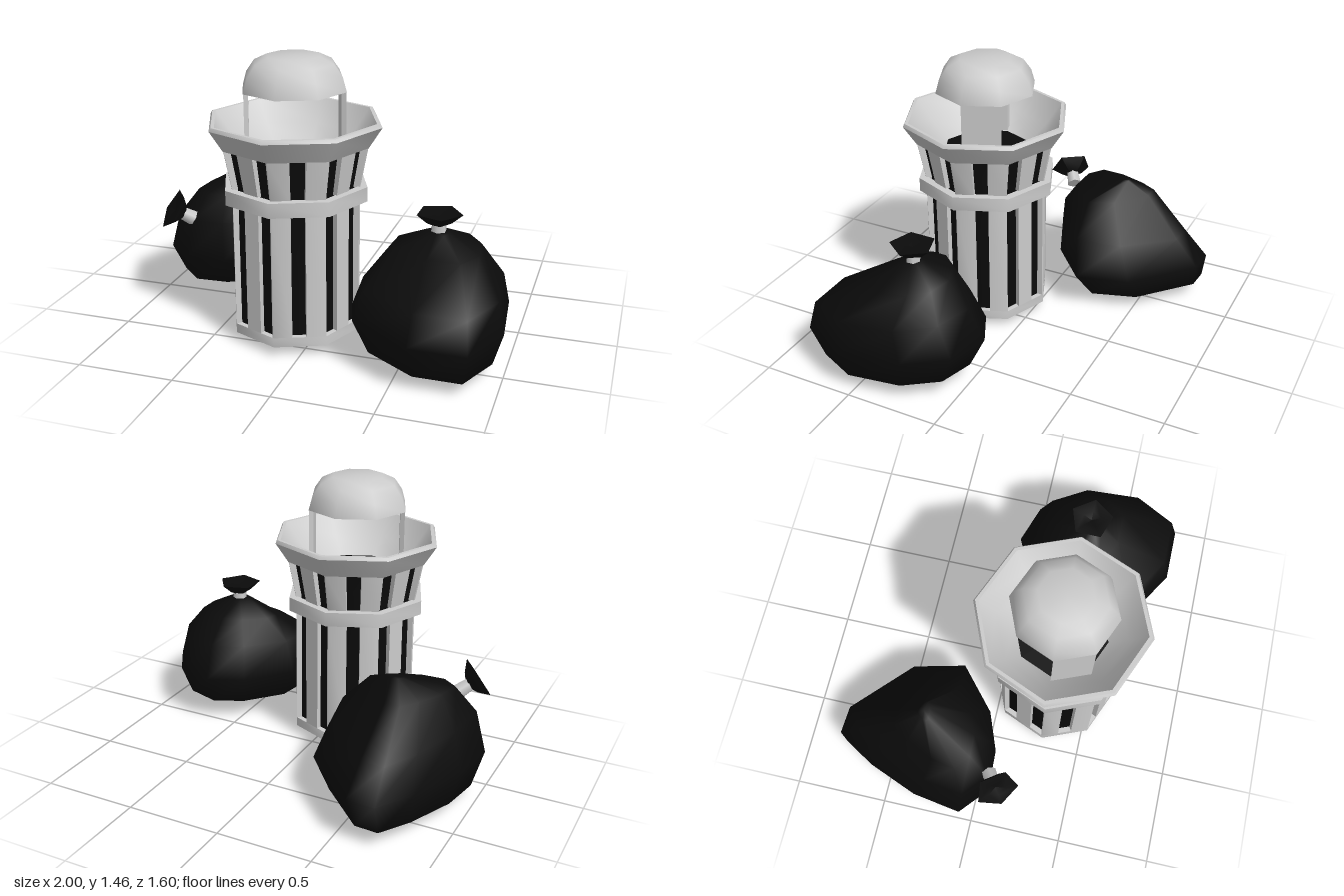
import * as THREE from 'three';
import { toCreasedNormals } from 'three/addons/utils/BufferGeometryUtils.js';

const grey = new THREE.MeshStandardMaterial({ color: 0xcccccc, side: THREE.DoubleSide });
const black = new THREE.MeshStandardMaterial({ color: 0x0b0b0b, side: THREE.DoubleSide });
const SIDES = 8;

function add(parent, name, geometry, material) {
  const mesh = new THREE.Mesh(geometry, material);
  mesh.name = name;
  parent.add(mesh);
  return mesh;
}

// Turned part; octagon corners stay soft, profile edges stay sharp
function turned(points, sides = SIDES, crease = 0.82) {
  const profile = points.map(([r, y]) => new THREE.Vector2(r, y));
  return toCreasedNormals(new THREE.LatheGeometry(profile, sides), crease);
}

// Point on an octagon with corners on the axes; angle runs from +z towards +x
function onOctagon(radius, deg) {
  const a = THREE.MathUtils.degToRad(deg);
  const local = THREE.MathUtils.degToRad(THREE.MathUtils.euclideanModulo(deg, 45) - 22.5);
  const r = radius * Math.cos(Math.PI / 8) / Math.cos(local);
  return new THREE.Vector2(Math.sin(a) * r, -Math.cos(a) * r);
}

// Upright slab following the octagon between two angles, flaring outwards to the top
function slabGeometry(from, to, outer, inner, y0, y1, flare = 1) {
  const angles = [from];
  for (let c = Math.ceil(from / 45) * 45; c < to; c += 45) if (c > from) angles.push(c);
  angles.push(to);
  const outline = [
    ...angles.map((a) => onOctagon(outer, a)),
    ...angles.slice().reverse().map((a) => onOctagon(inner, a)),
  ];
  const geo = new THREE.ExtrudeGeometry(new THREE.Shape(outline), { depth: y1 - y0, bevelEnabled: false });
  geo.rotateX(-Math.PI / 2);
  const p = geo.attributes.position;
  for (let i = 0; i < p.count; i++) {
    const s = 1 + (flare - 1) * p.getY(i) / (y1 - y0);
    p.setXYZ(i, p.getX(i) * s, p.getY(i) + y0, p.getZ(i) * s);
  }
  return toCreasedNormals(geo, 0.82);
}

function createCan() {
  const can = new THREE.Group();
  can.name = 'trashCan';
  add(can, 'base', turned([[0, 0.05], [0.34, 0.05], [0.34, 0.1], [0, 0.1]]), grey);
  add(can, 'band', turned([[0.33, 0.745], [0.377, 0.745], [0.377, 0.82], [0.33, 0.82], [0.33, 0.745]]), grey);

  // Twelve slats below and above the band
  for (let k = 0; k < 12; k++) {
    const from = k * 30 - 1.3, to = from + 16.6;
    add(can, 'lowerSlat', slabGeometry(from, to, 0.34, 0.305, 0.1, 0.75), grey);
    add(can, 'upperSlat', slabGeometry(from, to, 0.34, 0.305, 0.815, 1.025, 1.12), grey);
  }

  // Dark liner behind the slots, with its top showing inside the mouth
  add(can, 'liner', turned([[0.31, 0.1], [0.31, 0.82], [0.345, 1.022]]), black);
  add(can, 'linerTop', turned([[0.31, 0.935], [0, 0.935]]), black);

  // Flared rim and the funnel inside it
  add(can, 'rim', turned([
    [0.33, 1.02], [0.382, 1.02], [0.45, 1.128], [0.44, 1.145],
    [0.422, 1.145], [0.335, 1.03], [0.24, 0.94],
  ]), grey);

  // Domed hood on two opposite posts, each one octagon face wide
  add(can, 'hood', turned([[0.27, 1.29], [0.25, 1.36], [0.206, 1.422], [0.138, 1.455], [0, 1.455]], SIDES, 1), grey);
  for (const from of [90, 270]) {
    add(can, 'hoodPost', slabGeometry(from, from + 45, 0.268, 0.243, 0.94, 1.295), grey);
  }
  can.position.set(-0.12, 0, 0.29);
  return can;
}

// Bag skin: the footprint is fitted into each ring [x0, x1, z0, z1, yBack, yFront]
function bagGeometry(footprint, rings) {
  const xs = footprint.map((p) => p[0]), zs = footprint.map((p) => p[1]);
  const minX = Math.min(...xs), minZ = Math.min(...zs);
  const w = Math.max(...xs) - minX, d = Math.max(...zs) - minZ;
  const n = footprint.length, pos = [], idx = [];
  for (const [x0, x1, z0, z1, yb, yf] of rings) {
    for (const [px, pz] of footprint) {
      const u = (px - minX) / w, v = (pz - minZ) / d;
      pos.push(x0 + u * (x1 - x0), yb + v * (yf - yb), z0 + v * (z1 - z0));
    }
  }
  for (const [x0, x1, z0, z1, yb, yf] of [rings[0], rings[rings.length - 1]]) {
    pos.push((x0 + x1) / 2, (yb + yf) / 2, (z0 + z1) / 2);
  }
  const bottom = rings.length * n, top = bottom + 1, last = (rings.length - 1) * n;
  for (let i = 0; i < n; i++) {
    const j = (i + 1) % n;
    for (let r = 0; r < last; r += n) {
      idx.push(r + j, r + i, r + n + i, r + j, r + n + i, r + n + j);
    }
    idx.push(bottom, i, j, top, last + j, last + i);
  }
  const geo = new THREE.BufferGeometry();
  geo.setAttribute('position', new THREE.Float32BufferAttribute(pos, 3));
  geo.setIndex(idx);
  geo.computeVertexNormals();
  return geo;
}

// Tie and flared bag mouth, pointing along a direction
function createKnot(position, direction, turn) {
  const knot = new THREE.Group();
  knot.name = 'knot';
  add(knot, 'tie', new THREE.CylinderGeometry(0.036, 0.042, 0.07, 6), grey);
  const mouth = add(knot, 'bagMouth', turned([[0.035, 0.03], [0.065, 0.045], [0.118, 0.092], [0.05, 0.09], [0, 0.075]], 5, 0.6), black);
  mouth.rotation.y = turn;
  knot.position.set(...position);
  knot.quaternion.setFromUnitVectors(new THREE.Vector3(0, 1, 0), new THREE.Vector3(...direction).normalize());
  return knot;
}

function createBag(name, footprint, rings, knot) {
  const bag = new THREE.Group();
  bag.name = name;
  add(bag, 'bagBody', bagGeometry(footprint, rings), black);
  bag.add(knot);
  return bag;
}

export function createModel() {
  const model = new THREE.Group();
  model.name = 'trashCanWithBags';
  model.add(createCan());

  // Upright bag on the left of the can
  model.add(createBag('leftBag',
    [[0.63, -0.08], [0.84, -0.01], [0.97, 0.2], [1, 0.54], [0.88, 0.79],
      [0.6, 0.79], [0.3, 0.61], [0.25, 0.45], [0.27, 0.25], [0.45, 0.01]],
    [
      [0.43, 0.76, 0.32, 0.59, 0.035, 0],
      [0.31, 0.95, 0, 0.74, 0.11, 0.07],
      [0.23, 1, -0.08, 0.8, 0.28, 0.24],
      [0.29, 0.97, 0, 0.76, 0.45, 0.4],
      [0.4, 0.84, 0.11, 0.48, 0.58, 0.55],
      [0.57, 0.68, 0.26, 0.37, 0.645, 0.64],
    ],
    createKnot([0.625, 0.643, 0.31], [0, 1, 0], 0.3)));

  // Toppled bag behind the can, its knot over the front shoulder
  model.add(createBag('backBag',
    [[-0.72, -0.8], [-0.57, -0.79], [-0.26, -0.5], [-0.19, -0.22], [-0.42, -0.02],
      [-0.63, 0.06], [-0.85, 0.07], [-1, -0.06], [-0.96, -0.32], [-0.84, -0.61]],
    [
      [-0.83, -0.42, -0.6, -0.15, 0.04, 0],
      [-0.96, -0.3, -0.78, -0.02, 0.09, 0.05],
      [-1, -0.19, -0.8, 0.07, 0.23, 0.22],
      [-0.94, -0.27, -0.67, 0.06, 0.37, 0.44],
      [-0.84, -0.42, -0.47, -0.04, 0.59, 0.565],
      [-0.65, -0.55, -0.35, -0.29, 0.665, 0.66],
    ],
    createKnot([-0.825, 0.475, 0.085], [-0.68, 0.52, 0.48], 0.3)));
  return model;
}
